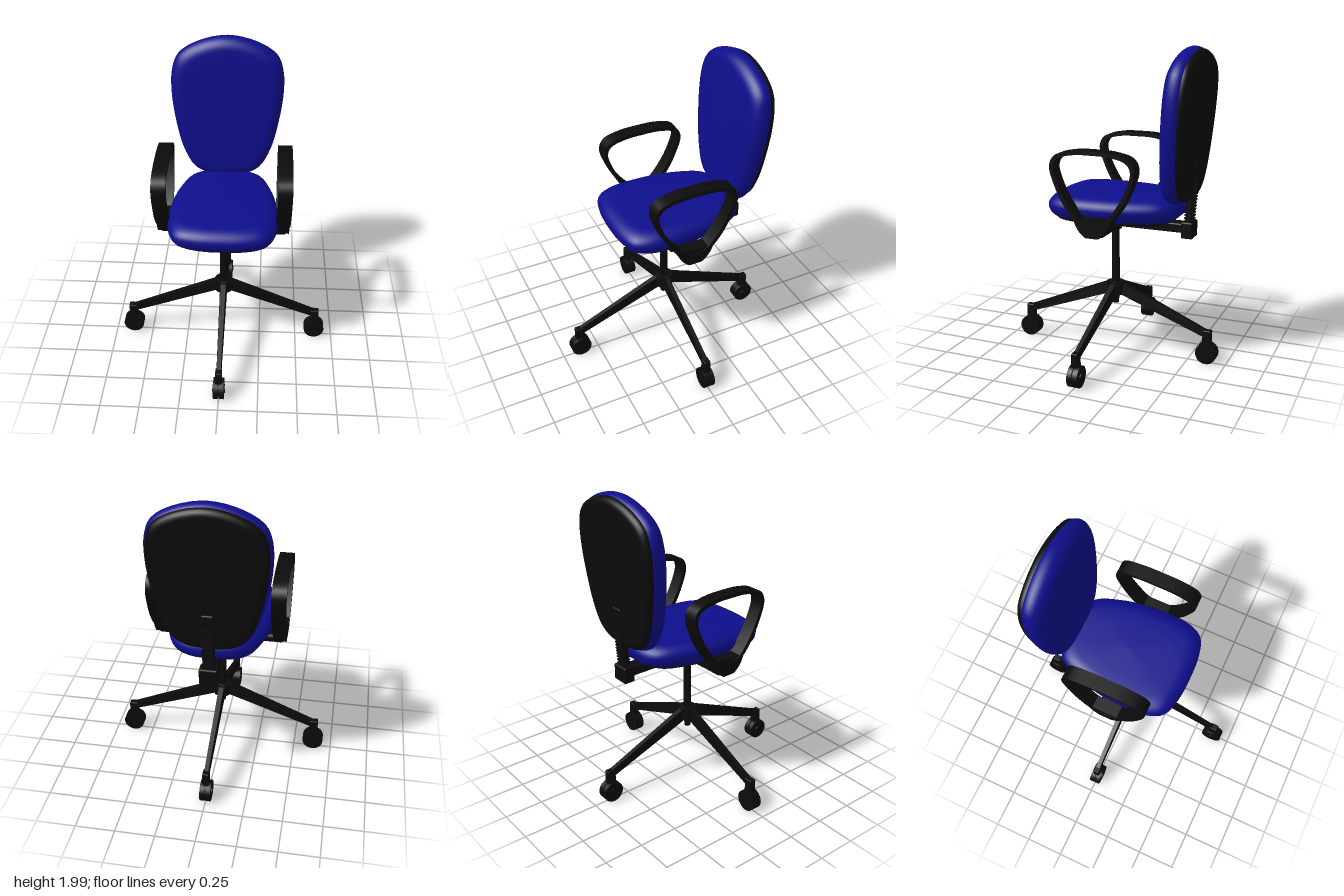
import * as THREE from 'three';
import { RoundedBoxGeometry } from 'three/addons/geometries/RoundedBoxGeometry.js';
import { toCreasedNormals } from 'three/addons/utils/BufferGeometryUtils.js';

const blue = new THREE.MeshStandardMaterial({ color: 0x0e0e8c });
const black = new THREE.MeshStandardMaterial({ color: 0x0b0b0b });

function add(parent, name, geometry, material, x = 0, y = 0, z = 0) {
  const mesh = new THREE.Mesh(geometry, material);
  mesh.name = name;
  mesh.position.set(x, y, z);
  parent.add(mesh);
  return mesh;
}

const rbox = (w, h, d, r = 0.01) => new RoundedBoxGeometry(w, h, d, 2, r);

// Closed smooth outline from its right half (listed from one end to the other), mirrored in u
function mirroredOutline(half, count) {
  const pts = half.map(([u, v]) => new THREE.Vector3(u, v, 0));
  for (let i = half.length - 1; i >= 0; i--) {
    if (half[i][0] > 0) pts.push(new THREE.Vector3(-half[i][0], half[i][1], 0));
  }
  return new THREE.CatmullRomCurve3(pts, true, 'centripetal').getPoints(count).slice(0, count);
}

// Upholstered pad: the outline is inset by each profile step [inset, height], then placed by a rule
function pad(half, profile, place) {
  const n = 72;
  const outline = mirroredOutline(half, n);
  const us = outline.map(p => p.x), vs = outline.map(p => p.y);
  const hu = Math.max(...us), hv = (Math.max(...vs) - Math.min(...vs)) / 2;
  const cv = Math.min(...vs) + hv;
  const pos = [], index = [];
  profile.forEach(([d, h], k) => {
    const end = k === 0 || k === profile.length - 1;
    const su = end ? 0 : 1 - d / hu, sv = end ? 0 : 1 - d / hv;
    for (const p of outline) pos.push(...place(p.x * su, cv + (p.y - cv) * sv, h));
  });
  for (let k = 0; k < profile.length - 1; k++) {
    for (let i = 0; i < n; i++) {
      const a = k * n + i, b = k * n + (i + 1) % n;
      index.push(a, b, b + n, a, b + n, a + n);
    }
  }
  const g = new THREE.BufferGeometry();
  g.setAttribute('position', new THREE.Float32BufferAttribute(pos, 3));
  g.setIndex(index);
  g.computeVertexNormals();
  return g;
}

// Profile from bottom to top with elliptical edges
function roundedProfile(low, mid, high, rLow, rHigh, crown = 0) {
  const p = [[1, low], [rLow * 1.6, low]];
  for (let i = 0; i <= 6; i++) {
    const a = (i / 6) * Math.PI / 2;
    p.push([rLow * (1 - Math.sin(a)), mid - (mid - low) * Math.cos(a)]);
  }
  for (let i = 1; i <= 7; i++) {
    const a = (i / 7) * Math.PI / 2;
    p.push([rHigh * (1 - Math.cos(a)), mid + (high - mid - crown) * Math.sin(a)]);
  }
  p.push([rHigh * 1.7, high - crown * 0.4], [1, high]);
  return p;
}

// Extrude a side-view shape (z, y) along x, centred
function sideExtrude(shape, width) {
  const g = new THREE.ExtrudeGeometry(shape, { depth: width, bevelEnabled: false, curveSegments: 12 });
  g.translate(0, 0, -width / 2);
  g.rotateY(-Math.PI / 2);
  return toCreasedNormals(g, 0.6);
}

function createSeat() {
  const g = new THREE.Group();
  g.name = 'seat';
  const half = [[0, -0.46], [0.14, -0.45], [0.235, -0.39], [0.3, -0.24], [0.335, -0.08], [0.344, 0.1],
    [0.332, 0.24], [0.28, 0.335], [0.16, 0.375], [0, 0.385]];
  // v runs towards the rear so the rings wind outward
  const flipped = half.map(([u, z]) => [u, -z]).reverse();
  const place = (u, v, h) => [u, h, -v];
  add(g, 'seatCushion', pad(flipped, roundedProfile(0.94, 1.02, 1.098, 0.07, 0.1, 0.008), place), blue);
  add(g, 'seatPan', pad(flipped.map(([u, v]) => [u * 0.87, v * 0.88]),
    roundedProfile(0.926, 0.945, 0.96, 0.03, 0.02), place), black);
  return g;
}

function createBackrest() {
  const g = new THREE.Group();
  g.name = 'backrest';
  const half = [[0, 1.05], [0.13, 1.06], [0.22, 1.11], [0.29, 1.24], [0.335, 1.42], [0.362, 1.63],
    [0.355, 1.78], [0.315, 1.88], [0.19, 1.96], [0, 2.0]];
  const lean = (u, v, h) => [u, v, h - 0.072 * (v - 1.05)];
  add(g, 'backCushion', pad(half, roundedProfile(-0.485, -0.43, -0.355, 0.04, 0.075, 0.004), lean), blue);
  add(g, 'backShell', pad(half.map(([u, v]) => [u * 0.96, 1.52 + (v - 1.52) * 0.97]),
    roundedProfile(-0.516, -0.475, -0.455, 0.045, 0.02), lean), black);
  // Leaning spine with adjustment ribs
  const spine = new THREE.Group();
  spine.name = 'spine';
  spine.position.set(0, 0.9, -0.49);
  spine.rotation.x = -0.085;
  add(spine, 'spineBar', rbox(0.075, 0.44, 0.036), black, 0, 0.2, 0);
  for (let i = 0; i < 14; i++) add(spine, 'spineRib', new THREE.BoxGeometry(0.06, 0.009, 0.056), black, 0, 0.05 + i * 0.02, 0);
  g.add(spine);
  add(g, 'spineBlock', rbox(0.115, 0.105, 0.075), black, 0, 0.88, -0.492);
  return g;
}

function createArmrest(side) {
  const g = new THREE.Group();
  g.name = side > 0 ? 'leftArmrest' : 'rightArmrest';
  const half = [[0, 0.925], [0.08, 0.95], [0.165, 1.04], [0.235, 1.17], [0.272, 1.3], [0.24, 1.365], [0.13, 1.398], [0, 1.404]];
  const inner = [[0, 0.955], [0.07, 0.975], [0.145, 1.06], [0.213, 1.18], [0.246, 1.295], [0.22, 1.345], [0.12, 1.375], [0, 1.38]];
  const shape = new THREE.Shape(mirroredOutline(half, 80));
  shape.holes.push(new THREE.Path(mirroredOutline(inner, 80)));
  add(g, 'armLoop', sideExtrude(shape, 0.09), black, side * 0.38, 0, -0.015);
  // Hub closing the bottom of the loop
  const hub = new THREE.Shape();
  hub.moveTo(-0.04, 0.875);
  hub.lineTo(0.04, 0.875);
  hub.quadraticCurveTo(0.1, 0.91, 0.12, 0.985);
  hub.lineTo(-0.12, 0.985);
  hub.quadraticCurveTo(-0.1, 0.91, -0.04, 0.875);
  add(g, 'armHub', sideExtrude(hub, 0.08), black, side * 0.38, 0, -0.015);
  // Tongue fixing the arm under the seat
  add(g, 'armBracket', rbox(0.22, 0.055, 0.14, 0.02), black, side * 0.295, 0.905, -0.015);
  add(g, 'armMount', rbox(0.1, 0.06, 0.19, 0.015), black, side * 0.235, 0.92, -0.005);
  return g;
}

function createMechanism() {
  const g = new THREE.Group();
  g.name = 'mechanism';
  add(g, 'mechanismBox', rbox(0.12, 0.07, 0.2), black, 0, 0.9, 0);
  add(g, 'columnCollar', new THREE.CylinderGeometry(0.045, 0.04, 0.04, 24), black, 0, 0.855, 0);
  add(g, 'mechanismPlate', rbox(0.38, 0.02, 0.3, 0.008), black, 0, 0.925, 0);
  add(g, 'backBar', rbox(0.09, 0.06, 0.42), black, 0, 0.889, -0.27);
  return g;
}

function createLeg(angle) {
  const g = new THREE.Group();
  g.name = 'leg';
  g.rotation.y = angle;
  // Tapered sloping arm running along +x
  const arm = new THREE.BoxGeometry(1, 1, 1);
  const p = arm.attributes.position;
  for (let i = 0; i < p.count; i++) {
    const t = p.getX(i) + 0.5, top = p.getY(i) > 0;
    const w = top ? 0.017 - 0.004 * t : 0.024 - 0.008 * t;
    p.setXYZ(i, 0.04 + 0.58 * t, top ? 0.475 - 0.247 * t : 0.395 - 0.218 * t, Math.sign(p.getZ(i)) * w);
  }
  const armGeo = arm.toNonIndexed();
  armGeo.computeVertexNormals();
  add(g, 'legArm', armGeo, black);
  add(g, 'casterStem', rbox(0.056, 0.1, 0.042, 0.006), black, 0.627, 0.177, 0);
  // Twin-wheel caster
  const wheel = new THREE.CylinderGeometry(0.068, 0.068, 0.03, 32).rotateX(Math.PI / 2);
  for (const s of [-1, 1]) add(g, 'casterWheel', wheel, black, 0.627, 0.076, s * 0.019);
  add(g, 'casterBody', new THREE.CylinderGeometry(0.055, 0.055, 0.02, 24).rotateX(Math.PI / 2), black, 0.627, 0.08, 0);
  add(g, 'casterAxle', new THREE.CylinderGeometry(0.022, 0.028, 0.08, 16).rotateX(Math.PI / 2), black, 0.627, 0.076, 0);
  return g;
}

function createBase() {
  const g = new THREE.Group();
  g.name = 'base';
  add(g, 'gasColumn', new THREE.CylinderGeometry(0.024, 0.026, 0.5, 24), black, 0, 0.63, 0);
  add(g, 'baseHub', new THREE.CylinderGeometry(0.06, 0.06, 0.08, 24), black, 0, 0.433, 0);
  add(g, 'hubTip', new THREE.CylinderGeometry(0.026, 0.02, 0.08, 24), black, 0, 0.37, 0);
  for (let i = 0; i < 4; i++) g.add(createLeg(i * Math.PI / 2));
  return g;
}

export function createModel() {
  const model = new THREE.Group();
  model.name = 'officeChair';
  model.add(createBase(), createMechanism(), createSeat(), createBackrest(), createArmrest(1), createArmrest(-1));
  // Rest the wheels on the ground
  model.children.forEach(c => { c.position.y -= 0.004; });
  return model;
}
